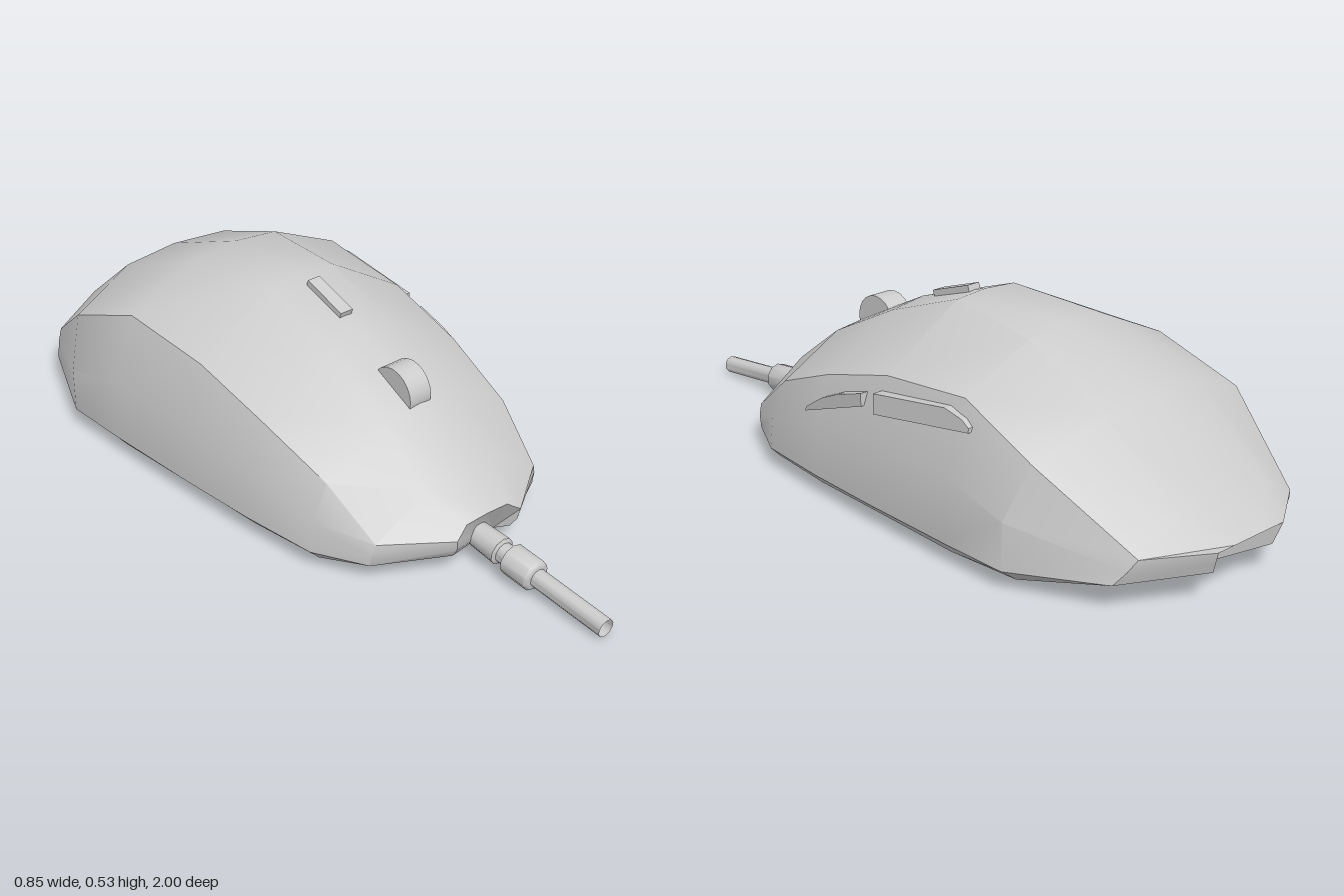
import * as THREE from 'three';
import { toCreasedNormals } from 'three/addons/utils/BufferGeometryUtils.js';

const grey = new THREE.MeshStandardMaterial({ color: 0xcccccc });
const greyOpen = new THREE.MeshStandardMaterial({ color: 0xcccccc, side: THREE.DoubleSide });

function add(group, name, geometry, material = grey) {
  const mesh = new THREE.Mesh(geometry, material);
  mesh.name = name;
  group.add(mesh);
  return mesh;
}

// Half section at one z: base edge, lower rim, widest point, crease, shoulder, ridge
const flat = (z, bx, lx, wx, wy, cx, cy, sx, sy, ty) => [
  [bx, 0.025, z], [lx, 0.055, z], [wx, wy, z], [cx, cy, z], [sx, sy, z], [0, ty, z],
];

// Lofts mirrored half sections, listed from back to front, and caps both ends
function loft(halves) {
  const rings = halves.map((h) => [
    ...h,
    ...h.slice(0, -1).reverse().map(([x, y, z]) => [-x, y, z]),
  ]);
  const n = rings[0].length;
  const index = [];
  for (let s = 0; s < rings.length - 1; s++) {
    for (let i = 0; i < n; i++) {
      const j = (i + 1) % n;
      const a = s * n + i, b = s * n + j;
      index.push(a, b, a + n, b, b + n, a + n);
    }
  }
  const end = (rings.length - 1) * n;
  for (let i = 1; i < n - 1; i++) {
    index.push(0, i + 1, i);
    index.push(end, end + i, end + i + 1);
  }
  const geo = new THREE.BufferGeometry();
  geo.setAttribute('position', new THREE.Float32BufferAttribute(rings.flat(2), 3));
  geo.setIndex(index);
  return toCreasedNormals(geo, 0.5);
}

// Side button: outline in (z, y), extruded towards +x and leaned with height
function sideButton(outline, x, depth, lean) {
  const shape = new THREE.Shape(outline.map(([z, y]) => new THREE.Vector2(-z, y)));
  const geo = new THREE.ExtrudeGeometry(shape, { depth, bevelEnabled: false });
  geo.rotateY(Math.PI / 2);
  const p = geo.attributes.position;
  for (let i = 0; i < p.count; i++) {
    p.setX(i, p.getX(i) + x - depth + lean * (p.getY(i) - 0.3));
  }
  geo.computeVertexNormals();
  return geo;
}

export function createModel() {
  const model = new THREE.Group();
  model.name = 'computerMouse';

  // Body shell
  add(model, 'bodyShell', loft([
    [[0.1, 0.025, -0.84], [0.11, 0.08, -0.98], [0.115, 0.11, -0.99], [0.12, 0.14, -1], [0.06, 0.14, -1], [0, 0.14, -1]],
    [[0.25, 0.025, -0.78], [0.32, 0.075, -0.86], [0.3, 0.11, -0.885], [0.28, 0.14, -0.9], [0.15, 0.215, -0.91], [0, 0.227, -0.9]],
    [[0.385, 0.025, -0.62], [0.425, 0.055, -0.61], [0.425, 0.18, -0.61], [0.37, 0.32, -0.65], [0.17, 0.395, -0.69], [0, 0.405, -0.7]],
    flat(-0.41, 0.395, 0.42, 0.42, 0.235, 0.35, 0.41, 0.14, 0.505, 0.52),
    flat(-0.12, 0.375, 0.405, 0.4, 0.22, 0.34, 0.385, 0.1, 0.53, 0.537),
    flat(0.12, 0.36, 0.387, 0.38, 0.2, 0.33, 0.32, 0.11, 0.445, 0.46),
    flat(0.34, 0.33, 0.36, 0.35, 0.14, 0.305, 0.235, 0.12, 0.335, 0.35),
    [[0.25, 0.025, 0.45], [0.285, 0.055, 0.48], [0.285, 0.09, 0.485], [0.275, 0.118, 0.49], [0.12, 0.215, 0.5], [0, 0.225, 0.5]],
    [[0.09, 0.025, 0.53], [0.1, 0.055, 0.58], [0.105, 0.085, 0.6], [0.11, 0.115, 0.605], [0.07, 0.142, 0.595], [0, 0.145, 0.595]],
  ]));

  // Scroll wheel
  const wheelGeo = new THREE.CylinderGeometry(0.07, 0.07, 0.07, 20).rotateZ(Math.PI / 2);
  add(model, 'scrollWheel', wheelGeo).position.set(0, 0.36, 0.275);

  // Small button behind the wheel
  const topButton = add(model, 'topButton', new THREE.BoxGeometry(0.04, 0.04, 0.14));
  topButton.position.set(0, 0.497, -0.012);
  topButton.rotation.x = 0.32;

  // Thumb buttons on the left side
  add(model, 'frontThumbButton', sideButton(
    [[0.17, 0.217], [-0.06, 0.295], [-0.06, 0.33], [0.03, 0.303], [0.1, 0.272], [0.165, 0.23]],
    0.376, 0.03, 0.05));
  add(model, 'rearThumbButton', sideButton(
    [[-0.12, 0.295], [-0.455, 0.343], [-0.455, 0.355], [-0.43, 0.37], [-0.37, 0.382], [-0.115, 0.347]],
    0.388, 0.03, -0.1));

  // Strain relief and cable, one turned profile tilted slightly down
  const profile = [
    [0.034, 0], [0.038, 0.1], [0.028, 0.105], [0.028, 0.13], [0.042, 0.135],
    [0.042, 0.215], [0.036, 0.222], [0.025, 0.224], [0.025, 0.45],
  ].map(([r, y]) => new THREE.Vector2(r, y));
  const cableGeo = toCreasedNormals(new THREE.LatheGeometry(profile, 10), 0.7);
  const cable = add(model, 'cable', cableGeo, greyOpen);
  cable.position.set(0, 0.07, 0.552);
  cable.rotation.x = Math.PI / 2 + 0.09;

  return model;
}
